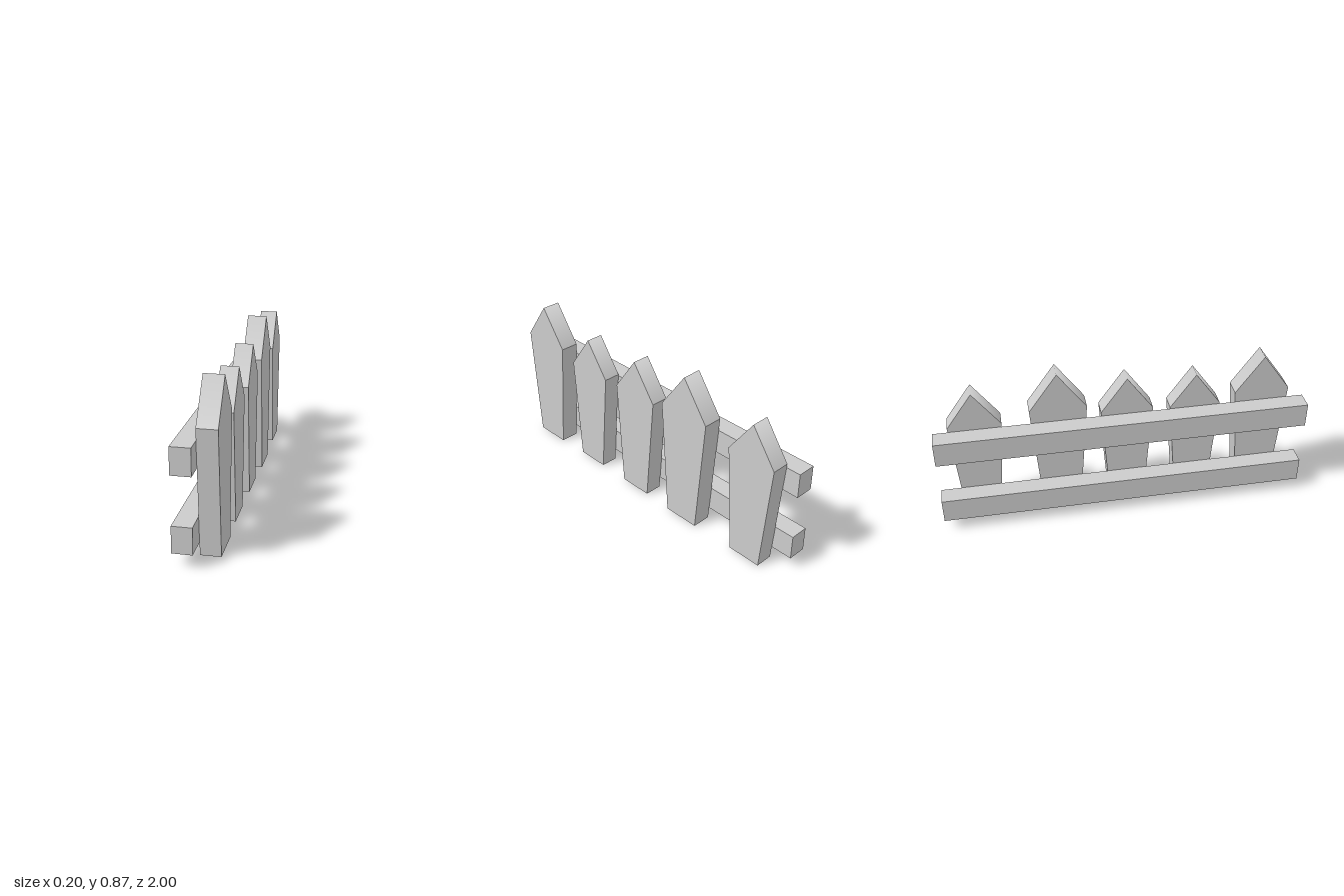
import * as THREE from 'three';

const material = new THREE.MeshStandardMaterial({ color: 0xcccccc });

// Unit-height pointed board, tapering towards the ground, thickness along +x
function picketGeometry() {
  const shape = new THREE.Shape([
    [-0.117, 0], [0.117, 0], [0.1745, 0.755], [0, 1], [-0.1745, 0.755],
  ].map(([u, v]) => new THREE.Vector2(u, v)));
  const geometry = new THREE.ExtrudeGeometry(shape, { depth: 0.12, bevelEnabled: false });
  geometry.rotateY(Math.PI / 2);
  // Blend the shading of the two slopes across the ridge
  const { position, normal } = geometry.attributes;
  for (let i = 0; i < position.count; i++) {
    if (position.getY(i) > 0.999 && Math.abs(normal.getX(i)) < 0.5) normal.setXYZ(i, 0, 1, 0);
  }
  return geometry;
}

export function createModel() {
  const group = new THREE.Group();
  group.name = 'picketFence';

  // Two horizontal rails behind the pickets
  [['lowerRail', 0.137], ['upperRail', 0.518]].forEach(([name, y]) => {
    const rail = new THREE.Mesh(new THREE.BoxGeometry(0.1, 0.136, 2), material);
    rail.name = name;
    rail.position.set(-0.053, y, 0);
    group.add(rail);
  });

  // Pickets: position along the fence and height
  const geometry = picketGeometry();
  [[0.765, 0.855], [0.396, 0.787], [0.025, 0.805], [-0.342, 0.873], [-0.781, 0.805]].forEach(([z, height], i) => {
    const picket = new THREE.Mesh(geometry, material);
    picket.name = `picket${i + 1}`;
    picket.position.set(-0.003, 0, z);
    picket.scale.setScalar(height);
    group.add(picket);
  });

  return group;
}
